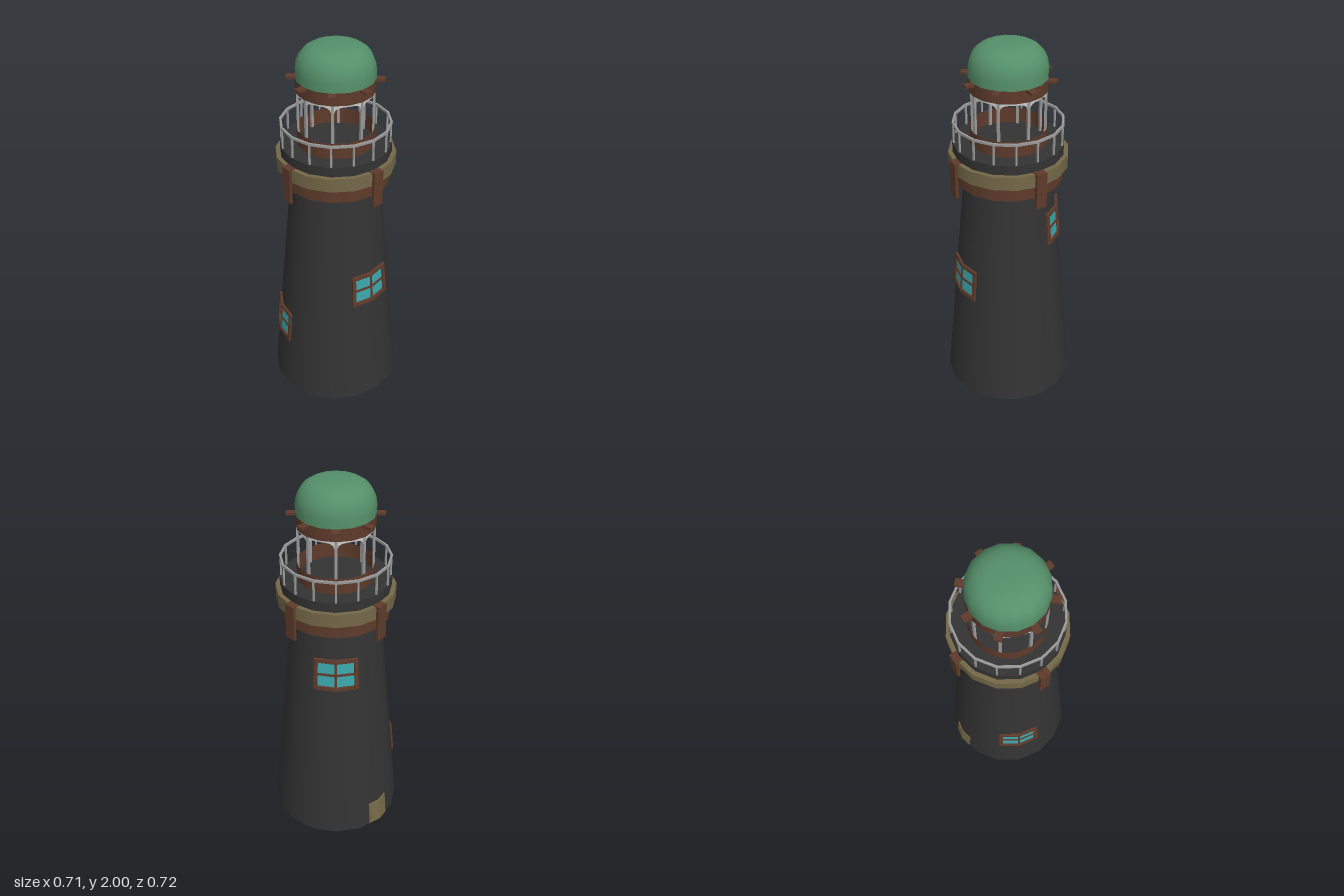
import * as THREE from 'three';

const SIDES = 16;
const STEP = (Math.PI * 2) / SIDES;
const BASE_R = 0.357, TOP_R = 0.233, TOWER_H = 1.3;

const paint = (color, extra = {}) => new THREE.MeshStandardMaterial({ color, ...extra });
const dark = paint(0x333333);
const brown = paint(0x5e3b2b);
const brownOpen = paint(0x5e3b2b, { side: THREE.DoubleSide });
const tan = paint(0x746848);
const green = paint(0x55906a, { side: THREE.DoubleSide });
const glass = paint(0x3aa5ab);
const metal = paint(0x999999);
const metalFlat = paint(0x999999, { flatShading: true });
const pale = paint(0xcccccc, { side: THREE.DoubleSide });

// Radius of the 16-sided tower wall at a given angle and height
function wallRadius(angle, y) {
  const r = BASE_R + (TOP_R - BASE_R) * (y / TOWER_H);
  const local = ((angle % STEP) + STEP) % STEP - STEP / 2;
  return (r * Math.cos(STEP / 2)) / Math.cos(local);
}

function add(parent, name, geometry, material) {
  const mesh = new THREE.Mesh(geometry, material);
  mesh.name = name;
  parent.add(mesh);
  return mesh;
}

// Drum with its bottom at y0 and top at y1
function drum(parent, name, r, y0, y1, material, open = false) {
  const geometry = new THREE.CylinderGeometry(r, r, y1 - y0, SIDES, 1, open);
  geometry.translate(0, (y0 + y1) / 2, 0);
  return add(parent, name, geometry, material);
}

// Box bent onto the tower wall: x runs around the wall, depth points outward
function wallBox(parent, name, angle, x0, x1, y0, y1, d0, d1, material) {
  const geometry = new THREE.BoxGeometry(x1 - x0, y1 - y0, d1 - d0, 6, 1, 1).toNonIndexed();
  geometry.translate((x0 + x1) / 2, (y0 + y1) / 2, (d0 + d1) / 2);
  const p = geometry.attributes.position;
  const mid = wallRadius(angle, (y0 + y1) / 2);
  for (let i = 0; i < p.count; i++) {
    const y = p.getY(i);
    const a = angle + p.getX(i) / mid;
    const r = wallRadius(a, y) + p.getZ(i);
    p.setXYZ(i, r * Math.sin(a), y, r * Math.cos(a));
  }
  geometry.computeVertexNormals();
  return add(parent, name, geometry, material);
}

// Four-pane window with a wooden frame
function makeWindow(angle, y) {
  const group = new THREE.Group();
  group.name = 'window';
  const w = 0.115, h = 0.09, t = 0.02, bar = 0.006;
  wallBox(group, 'windowGlass', angle, -w + t, w - t, y - h + t, y + h - t, -0.01, 0.004, glass);
  for (const s of [-1, 1]) {
    const x = s * (w - t / 2), e = y + s * (h - t / 2);
    wallBox(group, 'windowJamb', angle, x - t / 2, x + t / 2, y - h, y + h, -0.01, 0.013, brown);
    wallBox(group, 'windowRail', angle, -w + t, w - t, e - t / 2, e + t / 2, -0.01, 0.013, brown);
  }
  wallBox(group, 'windowMullion', angle, -bar, bar, y - h + t, y + h - t, -0.01, 0.009, brown);
  wallBox(group, 'windowCrossbar', angle, -w + t, w - t, y - bar, y + bar, -0.01, 0.009, brown);
  return group;
}

// Radial copies: each child group faces outward along its own +z
function around(parent, name, count, build) {
  for (let i = 0; i < count; i++) {
    const holder = new THREE.Group();
    holder.name = name;
    holder.rotation.y = (i / count) * Math.PI * 2;
    build(holder);
    parent.add(holder);
  }
}

function block(parent, name, w, y0, y1, z0, z1, material) {
  const geometry = new THREE.BoxGeometry(w, y1 - y0, z1 - z0);
  geometry.translate(0, (y0 + y1) / 2, (z0 + z1) / 2);
  return add(parent, name, geometry, material);
}

// Arched panel spanning two lantern posts, bent to the lantern radius
function archGeometry(radius, span) {
  const geometry = new THREE.PlaneGeometry(1, 1, 12, 1);
  const p = geometry.attributes.position;
  for (let i = 0; i < p.count; i++) {
    const u = p.getX(i) * 2;
    const low = 1.705 + 0.053 * Math.sqrt(Math.max(0, 1 - u ** 4));
    const y = p.getY(i) > 0 ? 1.775 : low;
    const a = (u * span) / 2;
    p.setXYZ(i, radius * Math.sin(a), y, radius * Math.cos(a));
  }
  geometry.computeVertexNormals();
  return geometry;
}

export function createModel() {
  const model = new THREE.Group();
  model.name = 'lighthouse';

  // Tapered tower
  const tower = new THREE.CylinderGeometry(TOP_R, BASE_R, TOWER_H, SIDES);
  tower.translate(0, TOWER_H / 2, 0);
  add(model, 'tower', tower, dark);

  // Windows climbing around the tower
  model.add(makeWindow(0, 0.72));
  model.add(makeWindow(Math.PI * 0.75, 1.045));
  model.add(makeWindow(Math.PI * 1.375, 0.4));

  // Small plank door at the back
  const door = new THREE.Group();
  door.name = 'door';
  wallBox(door, 'doorPanel', Math.PI, -0.068, 0.068, 0, 0.145, -0.01, 0.003, tan);
  for (const y of [0.004, 0.077]) {
    wallBox(door, 'doorPlank', Math.PI, -0.064, 0.064, y, y + 0.064, 0, 0.006, tan);
  }
  model.add(door);

  // Gallery tiers
  drum(model, 'galleryBase', 0.285, 1.29, 1.365, brown);
  drum(model, 'galleryRing', 0.308, 1.365, 1.437, tan);
  drum(model, 'galleryDeck', 0.285, 1.437, 1.487, dark);

  // Hooked brackets over the gallery ring
  around(model, 'galleryBracket', 4, (g) => {
    block(g, 'bracketLeg', 0.058, 1.25, 1.441, 0.306, 0.322, brown);
    block(g, 'bracketCap', 0.058, 1.43, 1.441, 0.282, 0.306, brown);
  });

  // Railing
  const railProfile = [[0.272, 1.59], [0.283, 1.59], [0.283, 1.602], [0.272, 1.602], [0.272, 1.59]];
  const rail = new THREE.LatheGeometry(railProfile.map(([r, y]) => new THREE.Vector2(r, y)), SIDES);
  add(model, 'handrail', rail, metalFlat);
  around(model, 'railPost', SIDES, (g) => {
    block(g, 'railPostBar', 0.009, 1.48, 1.592, 0.272, 0.281, metal);
  });

  // Lantern room
  drum(model, 'lanternBase', 0.197, 1.485, 1.57, brownOpen, true);
  drum(model, 'lanternBand', 0.198, 1.768, 1.832, brownOpen, true);
  const arch = archGeometry(0.191, Math.PI / 4);
  around(model, 'lanternBay', 8, (g) => {
    block(g, 'lanternPost', 0.014, 1.485, 1.775, 0.182, 0.194, metal);
    block(g, 'eaveBeam', 0.037, 1.819, 1.832, 0.185, 0.24, brown);
    add(g, 'lanternArch', arch, pale).rotation.y = Math.PI / 8;
  });

  // Dome roof
  const domeProfile = [
    [0.197, 1.828], [0.197, 1.875], [0.192, 1.91], [0.178, 1.943],
    [0.156, 1.969], [0.127, 1.987], [0.09, 1.996], [0.045, 1.999], [0, 2],
  ];
  const dome = new THREE.LatheGeometry(domeProfile.map(([r, y]) => new THREE.Vector2(r, y)), SIDES);
  add(model, 'dome', dome, green);

  return model;
}
